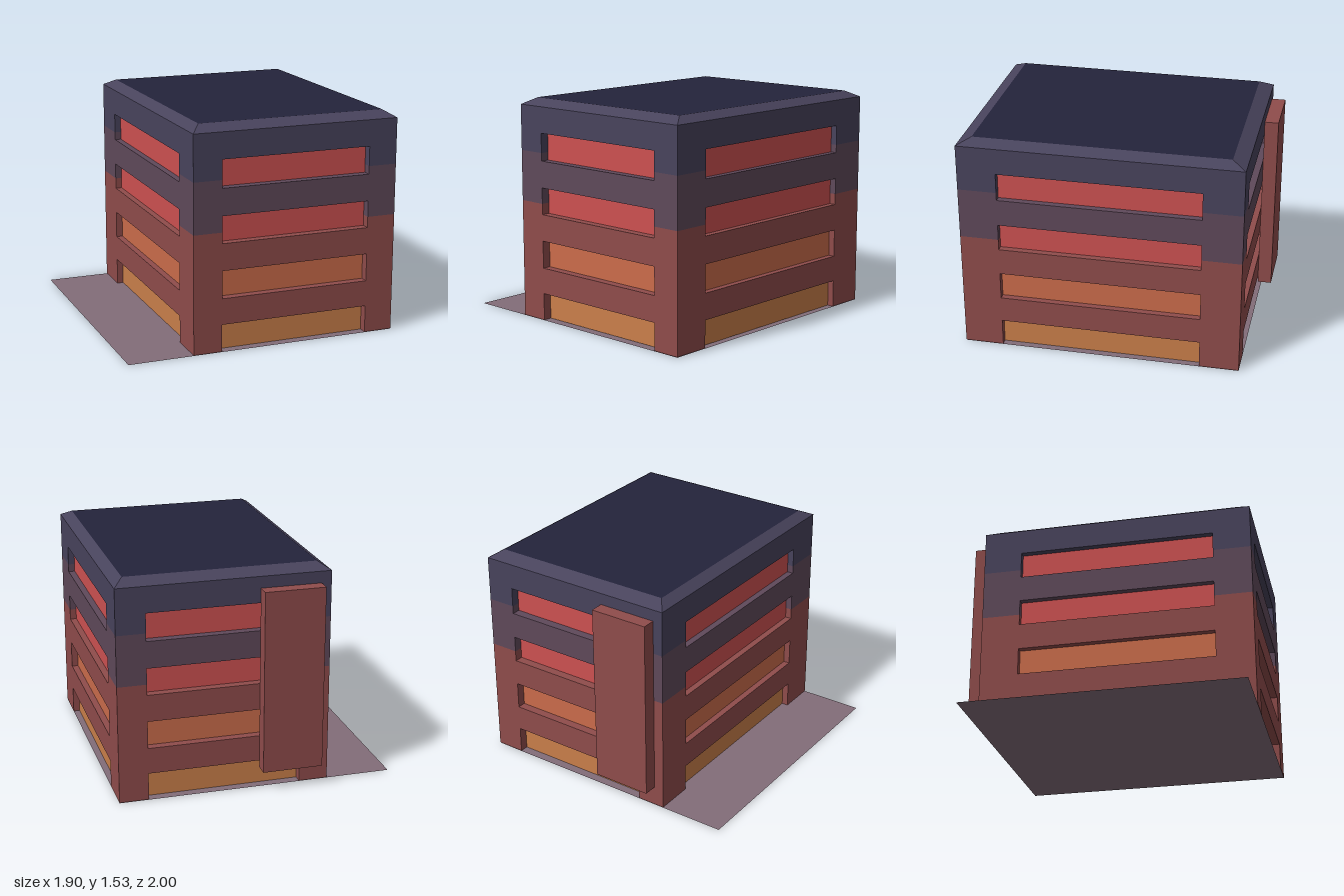
import * as THREE from 'three';

const paint = (name, color) => {
  const m = new THREE.MeshStandardMaterial({ color });
  m.name = name;
  return m;
};

export function createModel() {
  const brick = paint('brick', 0x8f4c4b);
  const plum = paint('plum', 0x5f495a);
  const navy = paint('navy', 0x48435c);
  const roofDark = paint('roofDark', 0x24233b);
  const ground = paint('ground', 0x826d79);
  ground.side = THREE.DoubleSide;
  const amber = paint('amberGlass', 0xca7f4a);
  const orange = paint('orangeGlass', 0xcb6c4b);
  const red = paint('redGlass', 0xcd5151);

  const model = new THREE.Group();
  model.name = 'building';

  // Box given by its extents along each axis
  const block = (name, mat, [x0, x1], [y0, y1], [z0, z1]) => {
    const mesh = new THREE.Mesh(new THREE.BoxGeometry(x1 - x0, y1 - y0, z1 - z0), mat);
    mesh.position.set((x0 + x1) / 2, (y0 + y1) / 2, (z0 + z1) / 2);
    mesh.name = name;
    model.add(mesh);
    return mesh;
  };

  // Plan: outer walls, window openings and recessed glass
  const X = [-0.5, 0.95], Z = [-0.905, 1];
  const openX = [-0.3, 0.75], openZ = [-0.635, 0.735];
  const glassX = [X[0] + 0.045, X[1] - 0.045], glassZ = [Z[0] + 0.06, Z[1] - 0.06];

  // Solid wall bands between the window rows
  const bands = [
    [0.19, 0.37, brick], [0.56, 0.745, brick],
    [0.93, 1.115, plum], [1.305, 1.485, navy],
  ];
  for (const [y0, y1, mat] of bands) block('wallBand', mat, X, [y0, y1], Z);

  // Corner piers beside the windows, split where the wall colour changes
  const piers = [
    [0.003, 0.19, brick], [0.37, 0.56, brick], [0.745, 0.82, brick],
    [0.82, 0.93, plum], [1.115, 1.17, plum], [1.17, 1.305, navy],
  ];
  for (const [y0, y1, mat] of piers)
    for (const px of [[X[0], openX[0]], [openX[1], X[1]]])
      for (const pz of [[Z[0], openZ[0]], [openZ[1], Z[1]]])
        block('cornerPier', mat, px, [y0, y1], pz);

  // Recessed window rows running around all four sides
  const rows = [[0.003, 0.19, amber], [0.37, 0.56, orange], [0.745, 0.93, red], [1.115, 1.305, red]];
  for (const [y0, y1, mat] of rows) block('windowRow', mat, glassX, [y0, y1], glassZ);

  // Roof with bevelled rim: top corners drawn inwards
  const roof = block('roof', [navy, navy, roofDark, navy, navy, navy], X, [1.485, 1.53], Z);
  const p = roof.geometry.attributes.position;
  for (let i = 0; i < p.count; i++) {
    if (p.getY(i) > 0) {
      p.setX(i, p.getX(i) - Math.sign(p.getX(i)) * 0.07);
      p.setZ(i, p.getZ(i) - Math.sign(p.getZ(i)) * 0.095);
    }
  }
  roof.geometry.computeVertexNormals();

  // Shaft on the back wall
  block('backShaft', brick, [-0.43, -0.015], [0.14, 1.405], [-1, Z[0]]);

  // Paved plot extending to one side
  const plot = new THREE.Mesh(new THREE.PlaneGeometry(1.9, Z[1] - Z[0]).rotateX(-Math.PI / 2), ground);
  plot.position.z = (Z[0] + Z[1]) / 2;
  plot.name = 'groundPlot';
  model.add(plot);

  return model;
}
